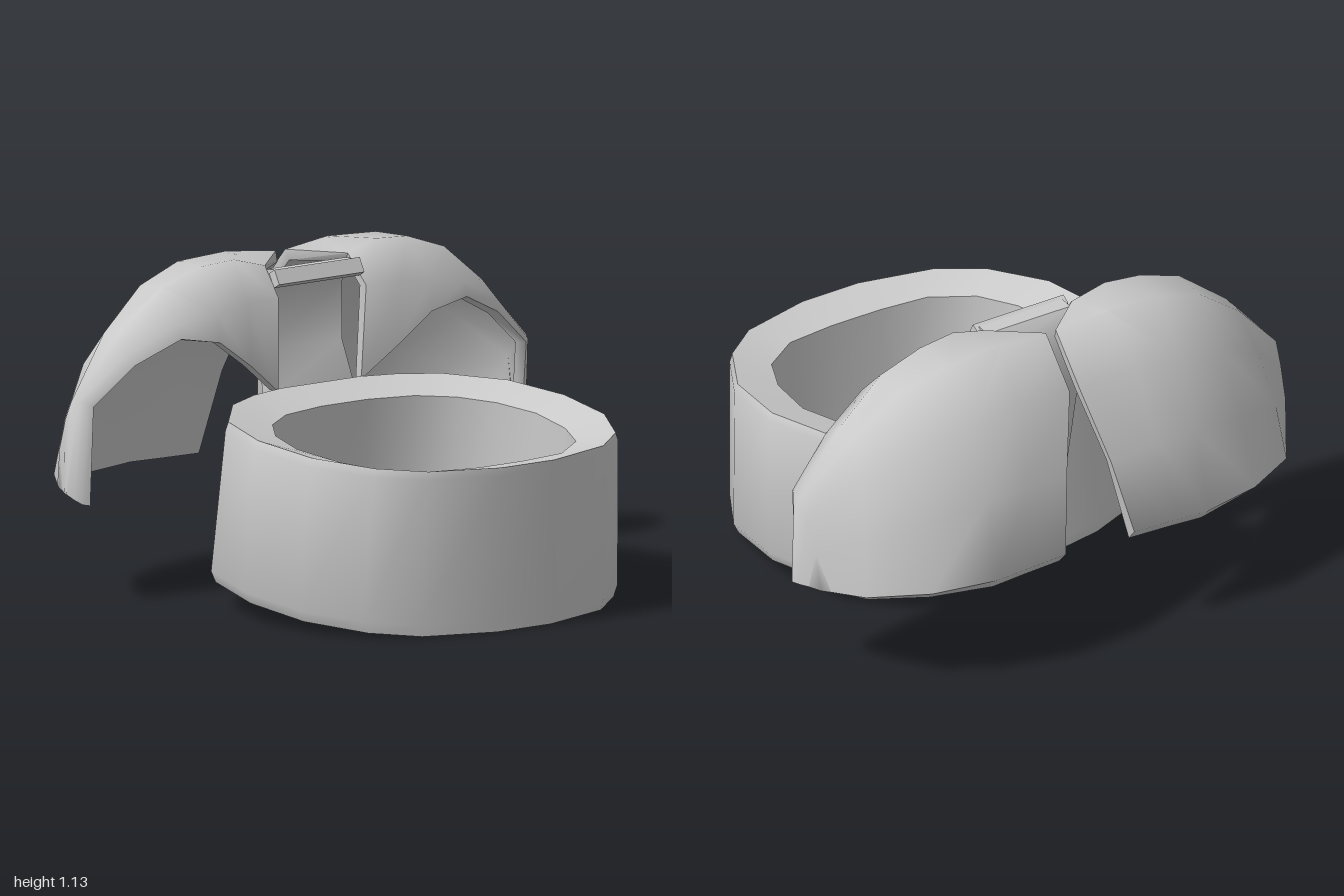
import * as THREE from 'three';
import { toCreasedNormals } from 'three/addons/utils/BufferGeometryUtils.js';

const material = new THREE.MeshStandardMaterial({ color: 0xcccccc, side: THREE.DoubleSide });

function addMesh(group, geometry, name) {
  const mesh = new THREE.Mesh(geometry, material);
  mesh.name = name;
  group.add(mesh);
  return mesh;
}

// Joins closed cross-sections (arrays of Vector3); either wraps round or caps paired ends
function loft(sections, wrap, side = 1) {
  const n = sections.length, m = sections[0].length, index = [];
  const quad = (a, b, c, d) => index.push(...(side > 0 ? [a, b, c, a, c, d] : [a, c, b, a, d, c]));
  for (let i = 0; i < (wrap ? n : n - 1); i++) {
    const a = i * m, b = ((i + 1) % n) * m;
    for (let j = 0; j < m; j++) {
      const k = (j + 1) % m;
      quad(a + j, b + j, b + k, a + k);
    }
  }
  if (!wrap) {
    const e = (n - 1) * m;
    for (let j = 0; j < m / 2 - 1; j++) {
      quad(j, j + 1, m - 2 - j, m - 1 - j);
      quad(e + j, e + m - 1 - j, e + m - 2 - j, e + j + 1);
    }
  }
  const g = new THREE.BufferGeometry();
  const points = sections.flat().flatMap(p => [p.x * side, p.y, p.z]);
  g.setAttribute('position', new THREE.Float32BufferAttribute(points, 3));
  g.setIndex(index);
  return toCreasedNormals(g, 1.0);
}

// Belt plan, front to back on one side: outer x, outer z, inner x, inner z
const beltPlan = [
  [0.12, 0.855, 0.10, 0.70], [0.40, 0.785, 0.28, 0.68], [0.55, 0.67, 0.42, 0.58],
  [0.67, 0.46, 0.49, 0.43], [0.70, 0.20, 0.52, 0.23], [0.64, -0.04, 0.48, 0.06],
  [0.48, -0.21, 0.40, -0.06], [0.33, -0.275, 0.28, -0.14], [0.18, -0.305, 0.10, -0.175],
];

function beltGeometry() {
  const plan = [...beltPlan, ...beltPlan.map(([a, b, c, d]) => [-a, b, -c, d]).reverse()];
  const top = z => 0.655 - 0.09 * z;
  const bottom = z => Math.max(0, 0.085 - (z > 0 ? 0.105 : 0.075) * z);
  // The rims slope down towards the opening
  return loft(plan.map(([ox, oz, ix, iz]) => {
    const low = oz > 0 ? oz - 0.025 : oz - 0.055;
    return [
      [ox * 0.97, bottom(low), low], [ox, bottom(low) + 0.04, low],
      [ox * 0.97, top(oz) - 0.03, oz], [ox * 0.95, top(oz), oz],
      [ix, top(iz) - 0.04, iz], [ix, bottom(iz) + 0.035, iz - 0.03],
    ].map(p => new THREE.Vector3(...p));
  }), true);
}

// Hip plate ribs from the middle outwards; each runs front edge, over the crest, down the back
const plateRibs = [
  [[.18, .67, -.31], [.19, 1.0, -.295], [.18, 1.10, -.385], [.02, 1.11, -.53], [.02, .95, -.68], [.09, .68, -.77], [.14, .42, -.84]],
  [[.32, .78, -.28], [.33, 1.0, -.285], [.31, 1.135, -.39], [.22, 1.13, -.55], [.24, .97, -.70], [.27, .70, -.79], [.30, .42, -.85]],
  [[.46, .88, -.275], [.46, .98, -.285], [.45, 1.125, -.40], [.43, 1.12, -.55], [.43, .95, -.70], [.43, .70, -.79], [.43, .42, -.86]],
  [[.62, .91, -.285], [.62, .96, -.295], [.61, 1.07, -.40], [.61, 1.06, -.53], [.62, .90, -.66], [.64, .66, -.75], [.66, .41, -.80]],
  [[.79, .83, -.33], [.80, .87, -.345], [.79, .93, -.42], [.79, .92, -.50], [.81, .80, -.59], [.84, .60, -.655], [.86, .405, -.69]],
  [[.94, .70, -.365], [.955, .71, -.375], [.97, .72, -.405], [.98, .71, -.44], [.97, .64, -.485], [.96, .53, -.53], [.93, .395, -.58]],
  [[.935, .35, -.39], [.96, .355, -.40], [.98, .37, -.42], [1.0, .39, -.44], [.99, .39, -.465], [.97, .39, -.50], [.95, .39, -.545]],
];

function plateGeometry(side) {
  const outer = plateRibs.map(r => r.map(p => new THREE.Vector3(...p)));
  const n = outer.length - 1, m = outer[0].length - 1;
  // Inner skin: each point moved against its surface normal, with a lower lip along the rim
  const sections = outer.map((rib, i) => {
    const inner = rib.map((p, j) => {
      const du = outer[Math.min(i + 1, n)][j].clone().sub(outer[Math.max(i - 1, 0)][j]);
      const dv = rib[Math.min(j + 1, m)].clone().sub(rib[Math.max(j - 1, 0)]);
      const q = p.clone().addScaledVector(du.cross(dv).normalize(), -0.04);
      if (j === m) q.y = 0.375;
      if (i === n) q.y = Math.min(p.y, 0.37);
      return q;
    });
    return [...rib, ...inner.reverse()];
  });
  return loft(sections, false, side);
}

// Hooked strap: side profile as z, y
function strapGeometry() {
  const profile = [
    [-.32, .30], [-.385, .31], [-.40, .60], [-.44, .80], [-.44, 1.02], [-.39, 1.085],
    [-.34, 1.09], [-.33, 1.05], [-.38, 1.045], [-.405, 1.0], [-.405, .80], [-.34, .66],
  ];
  const shape = new THREE.Shape(profile.map(p => new THREE.Vector2(...p)));
  const g = new THREE.ExtrudeGeometry(shape, { depth: 0.34, bevelEnabled: false });
  g.translate(0, 0, -0.17).rotateY(-Math.PI / 2);
  // Narrow the lower tab
  const pos = g.attributes.position;
  for (let i = 0; i < pos.count; i++) if (pos.getY(i) < 0.4) pos.setX(i, pos.getX(i) * 0.8);
  return toCreasedNormals(g, 0.8);
}

export function createModel() {
  const group = new THREE.Group();
  group.name = 'armouredBelt';
  addMesh(group, beltGeometry(), 'belt');
  addMesh(group, plateGeometry(1), 'leftHipPlate');
  addMesh(group, plateGeometry(-1), 'rightHipPlate');
  addMesh(group, strapGeometry(), 'backStrap');
  const bar = addMesh(group, new THREE.BoxGeometry(0.37, 0.055, 0.035), 'strapBar');
  bar.position.set(0, 1.062, -0.327);
  bar.rotation.x = -0.5;
  return group;
}
